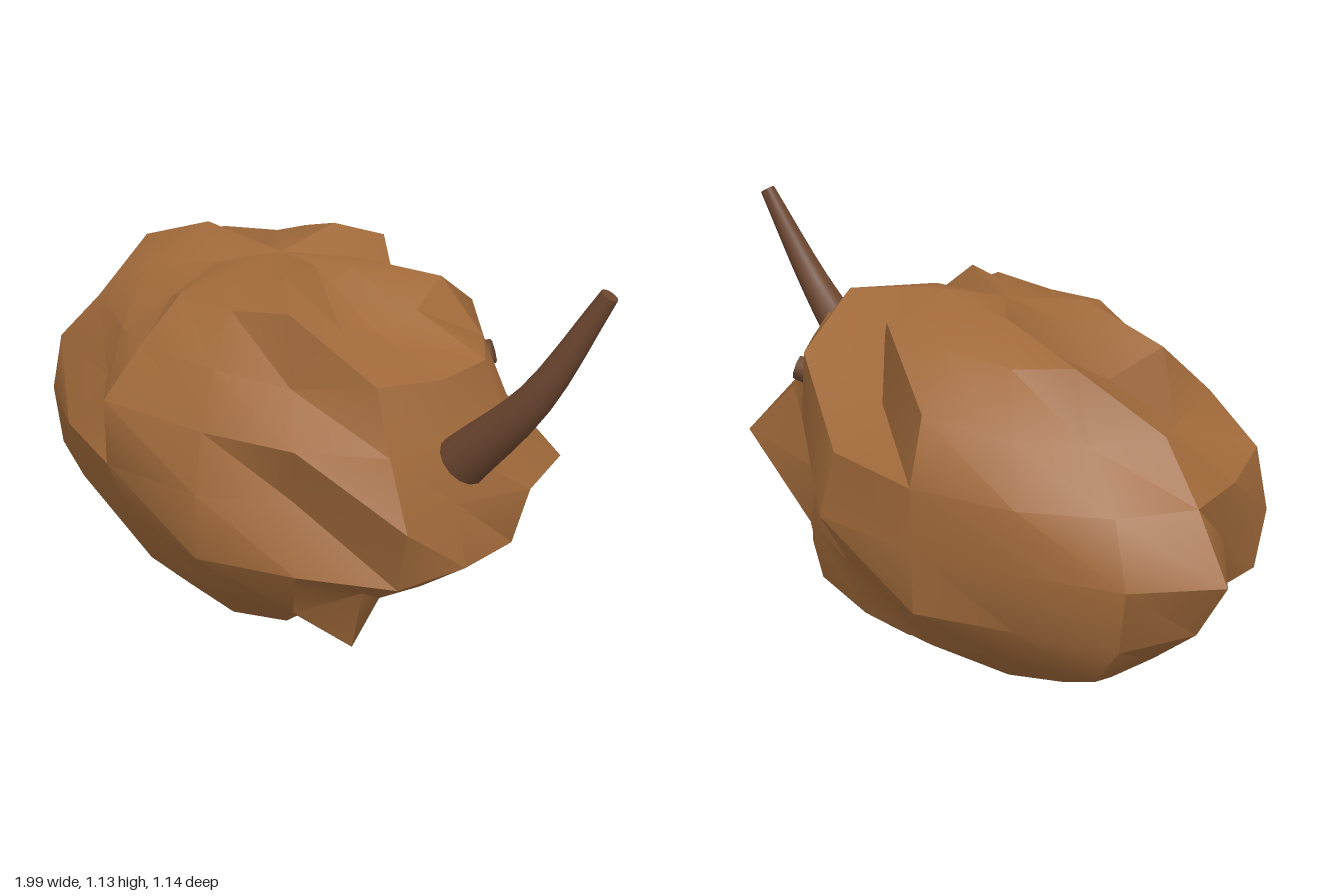
import * as THREE from 'three';
import { toCreasedNormals } from 'three/addons/utils/BufferGeometryUtils.js';

const skin = new THREE.MeshStandardMaterial({ color: 0xa0693a });
skin.name = 'lumpy brown skin';
const bark = new THREE.MeshStandardMaterial({ color: 0x6b452f });
bark.name = 'dark stem brown';

// Radius of each ring, in percent, from top to bottom; 16 steps around from -x through the front.
const rings = [
  [97],
  [103, 111, 92, 95, 95, 97, 100, 107, 92, 101, 103, 97, 113, 108, 103, 88],
  [94, 112, 102, 90, 105, 103, 108, 95, 89, 100, 114, 94, 118, 113, 105, 109],
  [102, 89, 103, 95, 106, 100, 89, 105, 105, 107, 105, 115, 90, 112, 100, 94],
  [103, 100, 108, 89, 115, 100, 100, 101, 93, 101, 100, 100, 106, 109, 102, 102],
  [112, 92, 108, 105, 109, 103, 87, 110, 93, 106, 118, 88, 110, 103, 99, 106],
  [105, 95, 110, 104, 101, 110, 106, 109, 103, 105, 90, 98, 99, 108, 102, 108],
  [100, 98, 93, 100, 105, 105, 106, 94, 95, 97, 110, 109, 106, 104, 100, 106],
  [104, 98, 95, 103, 105, 108, 100, 115, 95, 99, 101, 103, 103, 90, 102, 103],
  [103, 100, 95, 111, 98, 96, 110, 102, 108, 104, 100, 97, 97, 100, 100, 102],
  [98],
];

// Ellipsoid whose vertices are pushed in and out along their radii
function lumpyBody() {
  const geo = new THREE.SphereGeometry(1, 16, 10);
  const pos = geo.attributes.position;
  for (let k = 0; k < pos.count; k++) {
    const ring = rings[Math.floor(k / 17)];
    const f = ring[(k % 17) % ring.length] / 100;
    pos.setXYZ(k, pos.getX(k) * 0.8 * f, pos.getY(k) * 0.5 * f, pos.getZ(k) * 0.52 * f);
  }
  geo.translate(-0.1, 0.53, 0);
  return toCreasedNormals(geo, 0.6);
}

// Tapered, capped stalk: a cylinder swept along a curve
function stalk(points, r0, r1, sides, steps) {
  const curve = new THREE.CatmullRomCurve3(points.map((p) => new THREE.Vector3(...p)));
  const geo = new THREE.CylinderGeometry(r1, r0, 1, sides, steps);
  const pos = geo.attributes.position;
  const v = new THREE.Vector3();
  const q = new THREE.Quaternion();
  const up = new THREE.Vector3(0, 1, 0);
  for (let k = 0; k < pos.count; k++) {
    const t = THREE.MathUtils.clamp(pos.getY(k) + 0.5, 0, 1);
    q.setFromUnitVectors(up, curve.getTangent(t));
    v.set(pos.getX(k), 0, pos.getZ(k)).applyQuaternion(q).add(curve.getPoint(t));
    pos.setXYZ(k, v.x, v.y, v.z);
  }
  return toCreasedNormals(geo, 0.9);
}

export function createModel() {
  const model = new THREE.Group();
  const add = (name, geo, mat) => {
    const mesh = new THREE.Mesh(geo, mat);
    mesh.name = name;
    model.add(mesh);
  };
  add('body', lumpyBody(), skin);
  // Curved stem growing from the +x end
  add('stem', stalk([[0.645, 0.645, -0.01], [0.835, 0.85, -0.055], [0.977, 1.125, -0.13]], 0.068, 0.022, 14, 8), bark);
  // Small stub just breaking the surface at the back
  add('stub', stalk([[0.27, 0.74, -0.31], [0.31, 0.757, -0.35], [0.345, 0.773, -0.385]], 0.045, 0.034, 7, 1), bark);
  return model;
}
